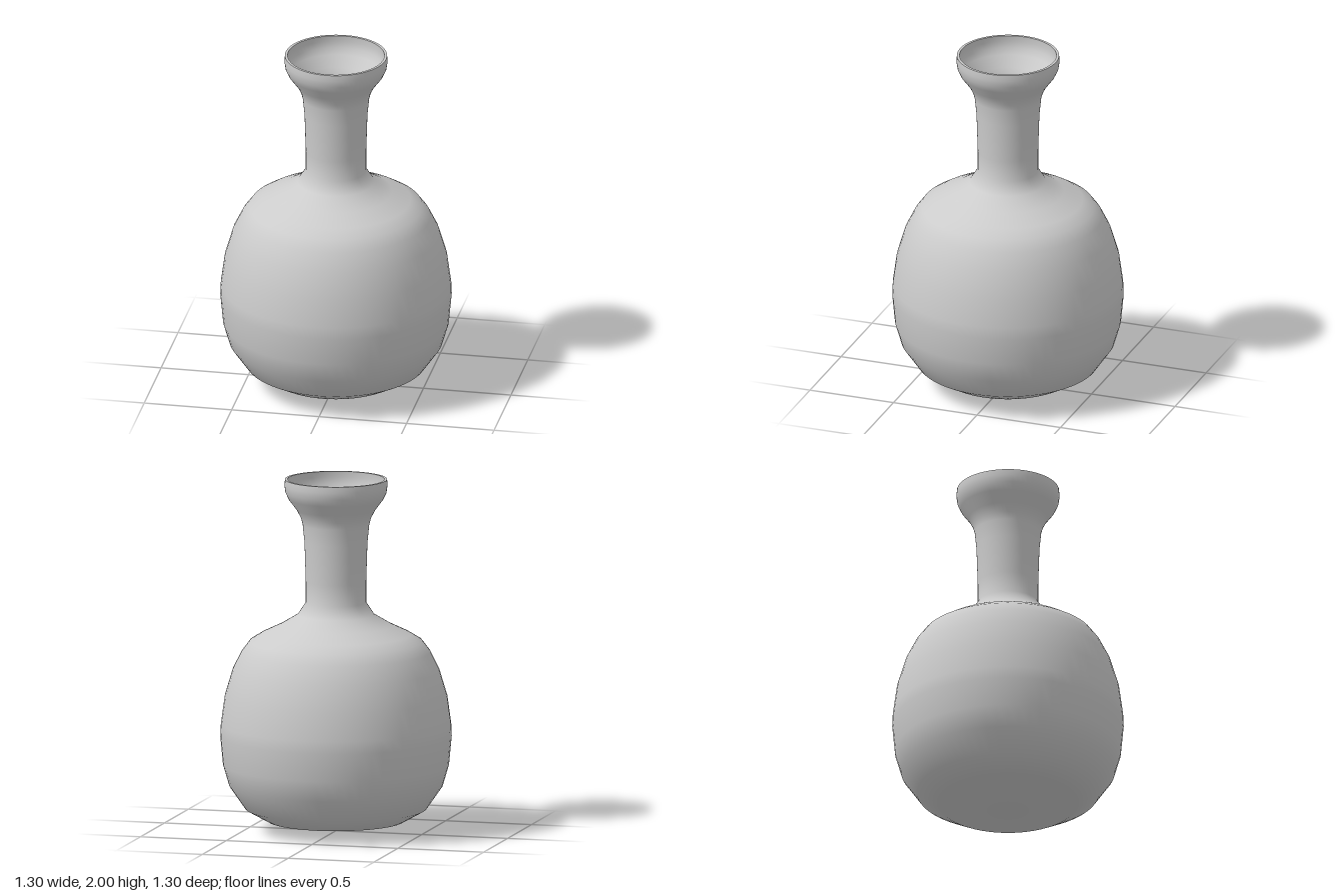
import * as THREE from 'three';

export function createModel() {
  const group = new THREE.Group();
  group.name = 'vase';
  const material = new THREE.MeshStandardMaterial({ color: 0xcccccc, side: THREE.DoubleSide });
  const segments = 64;

  const addLathe = (name, points) => {
    const profile = points.map(([r, y]) => new THREE.Vector2(r, y));
    const mesh = new THREE.Mesh(new THREE.LatheGeometry(profile, segments), material);
    mesh.name = name;
    group.add(mesh);
  };

  // Outer wall: shallow pointed base, round belly, shoulder, neck and flared mouth
  const outer = [
    [0, 0], [0.385, 0.06], [0.51, 0.13], [0.6, 0.26], [0.635, 0.38],
    [0.65, 0.54], [0.647, 0.61], [0.625, 0.77], [0.58, 0.92], [0.53, 1.02],
    [0.485, 1.08], [0.42, 1.12], [0.315, 1.17], [0.215, 1.23], [0.17, 1.3],
    [0.17, 1.42], [0.177, 1.64], [0.187, 1.74], [0.197, 1.78], [0.22, 1.825],
    [0.265, 1.885], [0.284, 1.925], [0.29, 1.965], [0.287, 2],
  ];
  addLathe('outerWall', outer);

  // Inner wall: the same profile moved inward along its normal, run from mouth to floor
  const thickness = 0.015;
  const inner = outer.map(([r, y], i) => {
    const [r0, y0] = outer[Math.max(i - 1, 0)];
    const [r1, y1] = outer[Math.min(i + 1, outer.length - 1)];
    const length = Math.hypot(r1 - r0, y1 - y0);
    return [
      i === 0 ? 0 : r - (thickness * (y1 - y0)) / length,
      i === outer.length - 1 ? 2 : y + (thickness * (r1 - r0)) / length,
    ];
  }).reverse();
  addLathe('innerWall', inner);

  // Flat lip joining both walls
  addLathe('rim', [outer[outer.length - 1], inner[0]]);

  return group;
}
